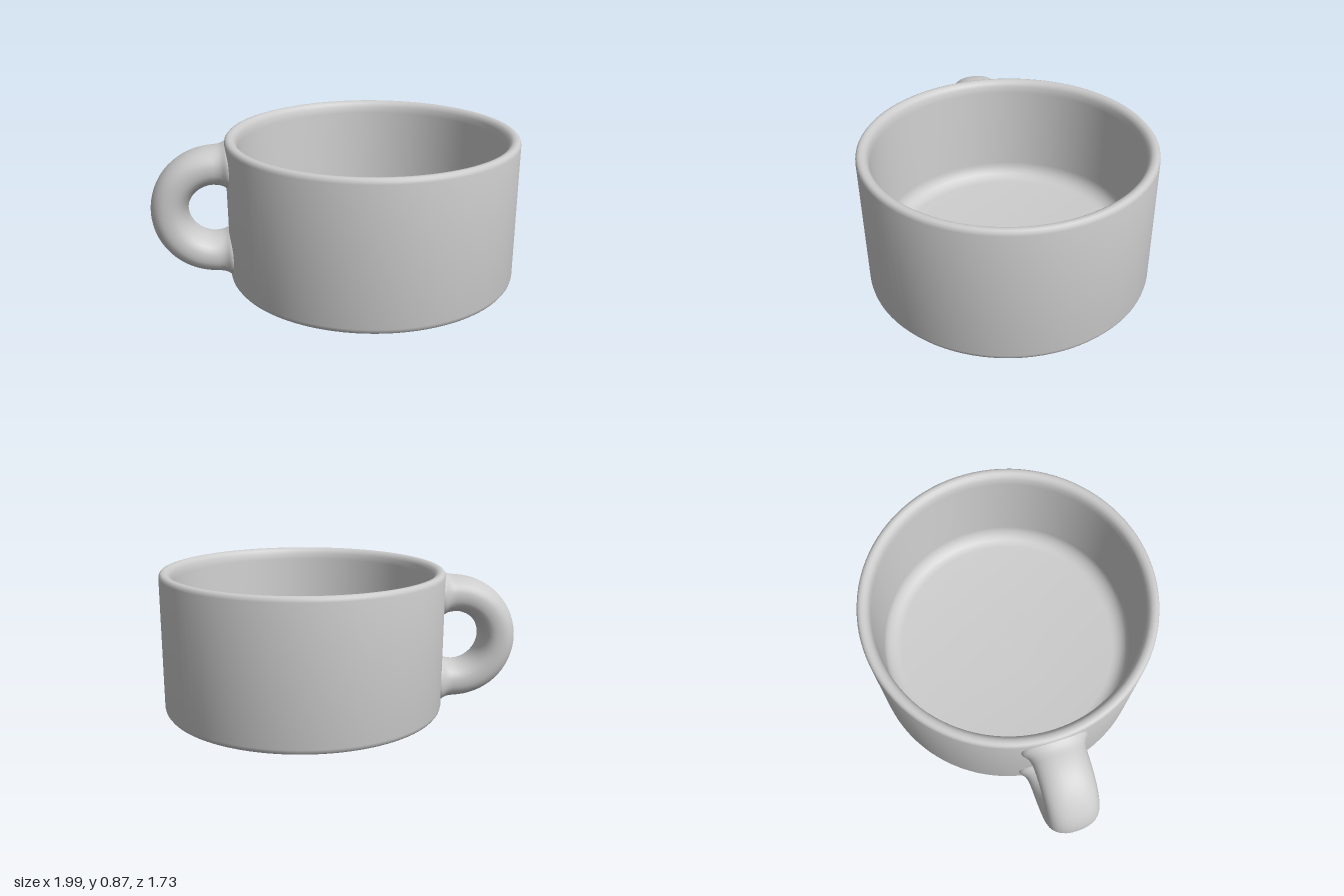
import * as THREE from 'three';
import { mergeVertices, toCreasedNormals } from 'three/addons/utils/BufferGeometryUtils.js';

const ceramic = new THREE.MeshStandardMaterial({ color: 0xcccccc });
ceramic.name = 'grey ceramic';

// Cup wall, rim and floor as one turned profile
function cupGeometry() {
  const pts = [[0, 0], [0.835, 0], [0.852, 0.006], [0.862, 0.02], [0.865, 0.035],
    [0.865, 0.835], [0.862, 0.85], [0.853, 0.861], [0.84, 0.865],
    [0.822, 0.862], [0.806, 0.85], [0.796, 0.83], [0.79, 0.79]];
  // rounded corner between inner wall and floor
  const r = 0.1, floor = 0.15;
  for (let i = 0; i <= 6; i++) {
    const a = (i / 6) * Math.PI / 2;
    pts.push([0.79 - r + r * Math.cos(a), floor + r - r * Math.sin(a)]);
  }
  pts.push([0, floor]);
  const geo = new THREE.LatheGeometry(pts.map(p => new THREE.Vector2(...p)), 96);
  return toCreasedNormals(geo, 0.7);
}

// Handle: flattened round section swept along a C path that flares at the wall
function handleGeometry() {
  const start = 0.82, bend = 0.93, radius = 0.27, midY = 0.44;
  const path = [];
  for (let i = 0; i < 8; i++) path.push([start + (bend - start) * i / 8, -radius, -Math.PI / 2]);
  for (let i = 0; i <= 32; i++) {
    const a = -Math.PI / 2 + Math.PI * i / 32;
    path.push([bend + radius * Math.cos(a), radius * Math.sin(a), a]);
  }
  for (let i = 7; i >= 0; i--) path.push([start + (bend - start) * i / 8, radius, Math.PI / 2]);

  const sides = 32, rows = path.length - 1;
  const geo = new THREE.PlaneGeometry(1, 1, sides, rows);
  const pos = geo.attributes.position;
  const round = v => Math.sign(v) * Math.abs(v) ** (2 / 2.3);
  for (let j = 0; j <= rows; j++) {
    const [x, y, a] = path[j];
    const flare = 0.27 * Math.exp(-Math.max(0, x - 0.855) / 0.028);
    for (let i = 0; i <= sides; i++) {
      const t = (i % sides) / sides * Math.PI * 2;
      const n = 0.108 * (1 + flare) * round(Math.cos(t));
      const w = 0.153 * (1 + flare) * round(Math.sin(t));
      pos.setXYZ(j * (sides + 1) + i, x + n * Math.cos(a), midY + y + n * Math.sin(a), w);
    }
  }
  geo.deleteAttribute('uv');
  geo.deleteAttribute('normal');
  const smooth = mergeVertices(geo);
  smooth.computeVertexNormals();
  return smooth;
}

export function createModel() {
  const group = new THREE.Group();
  group.name = 'mug';

  const cup = new THREE.Mesh(cupGeometry(), ceramic);
  cup.name = 'cup';
  cup.position.x = 0.133;

  const handle = new THREE.Mesh(handleGeometry(), ceramic);
  handle.name = 'handle';
  handle.position.x = 0.133;
  handle.rotation.y = Math.PI + 0.594;

  group.add(cup, handle);
  return group;
}
